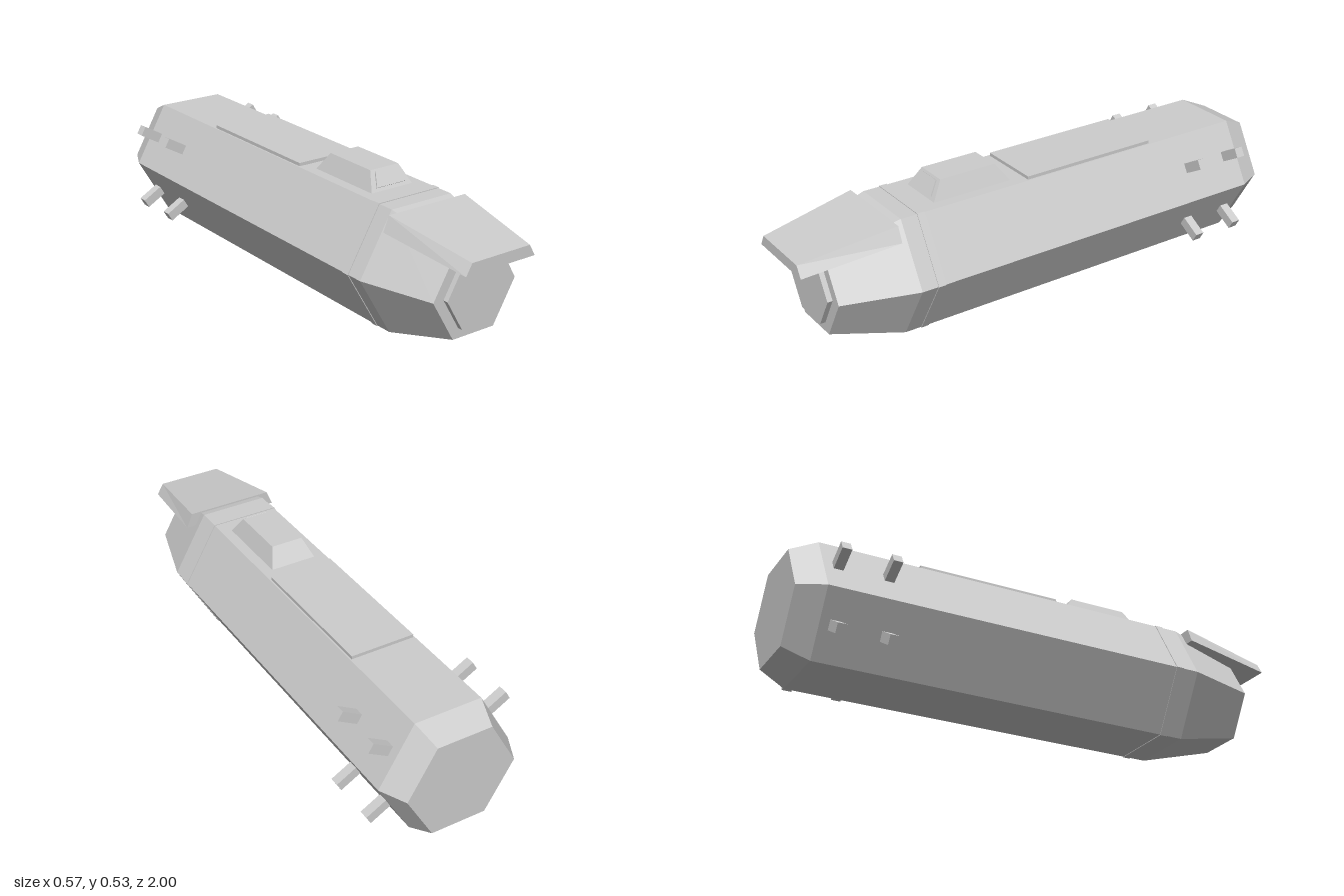
import * as THREE from 'three';

const CY = 0.232; // height of the hull axis

// Flat-shaded solid skinned over cross-sections, each counter-clockwise seen from +z, back to front
function loft(sections) {
  const pos = [];
  const tri = (a, b, c) => pos.push(...a, ...b, ...c);
  const n = sections[0].length;
  for (let i = 0; i < sections.length - 1; i++) {
    const s = sections[i], t = sections[i + 1];
    for (let j = 0; j < n; j++) {
      const k = (j + 1) % n;
      tri(s[j], s[k], t[k]);
      tri(s[j], t[k], t[j]);
    }
  }
  const back = sections[0], front = sections[sections.length - 1];
  for (let j = 1; j < n - 1; j++) {
    tri(back[0], back[j + 1], back[j]);
    tri(front[0], front[j], front[j + 1]);
  }
  const g = new THREE.BufferGeometry();
  g.setAttribute('position', new THREE.Float32BufferAttribute(pos, 3));
  g.computeVertexNormals();
  return g;
}

// Hexagon with corners left and right, flat on top and bottom
const hex = (r, z) => Array.from({ length: 6 }, (_, i) => {
  const a = i * Math.PI / 3;
  return [r * Math.cos(a), CY + r * Math.sin(a), z];
});

// Four-sided section, symmetric in x
const trapezoid = (xBottom, yBottom, zBottom, xTop, yTop, zTop) => [
  [-xBottom, yBottom, zBottom], [xBottom, yBottom, zBottom],
  [xTop, yTop, zTop], [-xTop, yTop, zTop],
];

export function createModel() {
  const model = new THREE.Group();
  model.name = 'hexagonalShip';
  const grey = new THREE.MeshStandardMaterial({ color: 0xcccccc });
  grey.name = 'hull grey';

  const add = (name, geometry) => {
    const mesh = new THREE.Mesh(geometry, grey);
    mesh.name = name;
    model.add(mesh);
    return mesh;
  };

  // Hull with tapered stern and nose
  add('hull', loft([hex(0.216, -1), hex(0.265, -0.9), hex(0.265, 0.6), hex(0.183, 0.883)]));
  add('hullBand', loft([hex(0.268, 0.505), hex(0.268, 0.535)]));
  add('nosePlate', loft([hex(0.139, 0.87), hex(0.139, 0.903)]));

  // Sloping visor over the nose
  add('visor', loft([
    trapezoid(0.194, 0.403, 0.632, 0.17, 0.46, 0.632),
    trapezoid(0.152, 0.36, 1, 0.127, 0.403, 1),
  ]));

  // Raised roof panel
  const panel = add('roofPanel', new THREE.BoxGeometry(0.253, 0.02, 0.565));
  panel.position.set(0, 0.464, -0.2225);

  // Cabin, skinned from back edge to front edge
  add('cabin', loft([
    trapezoid(0.094, 0.455, 0.112, 0.063, 0.529, 0.165),
    trapezoid(0.094, 0.455, 0.445, 0.063, 0.529, 0.395),
  ]));

  // Thin window plate lying on the sloped cabin front
  const slope = y => 0.445 - (y - 0.455) * 0.05 / 0.074;
  const pane = d => {
    const dy = d * 0.56, dz = d * 0.83;
    return trapezoid(0.064, 0.473 + dy, slope(0.473) + dz, 0.047, 0.521 + dy, slope(0.521) + dz);
  };
  add('cabinWindow', loft([pane(-0.001), pane(0.005)]));

  // Square lugs standing out of the four slanted sides near the stern
  for (const z of [-0.657, -0.847]) {
    for (const degrees of [30, 150, 210, 330]) {
      const a = degrees * Math.PI / 180;
      const lug = add('lug', new THREE.BoxGeometry(0.117, 0.038, 0.036));
      lug.position.set(0.2595 * Math.cos(a), CY + 0.2595 * Math.sin(a), z);
      lug.rotation.z = a;
    }
  }
  return model;
}
